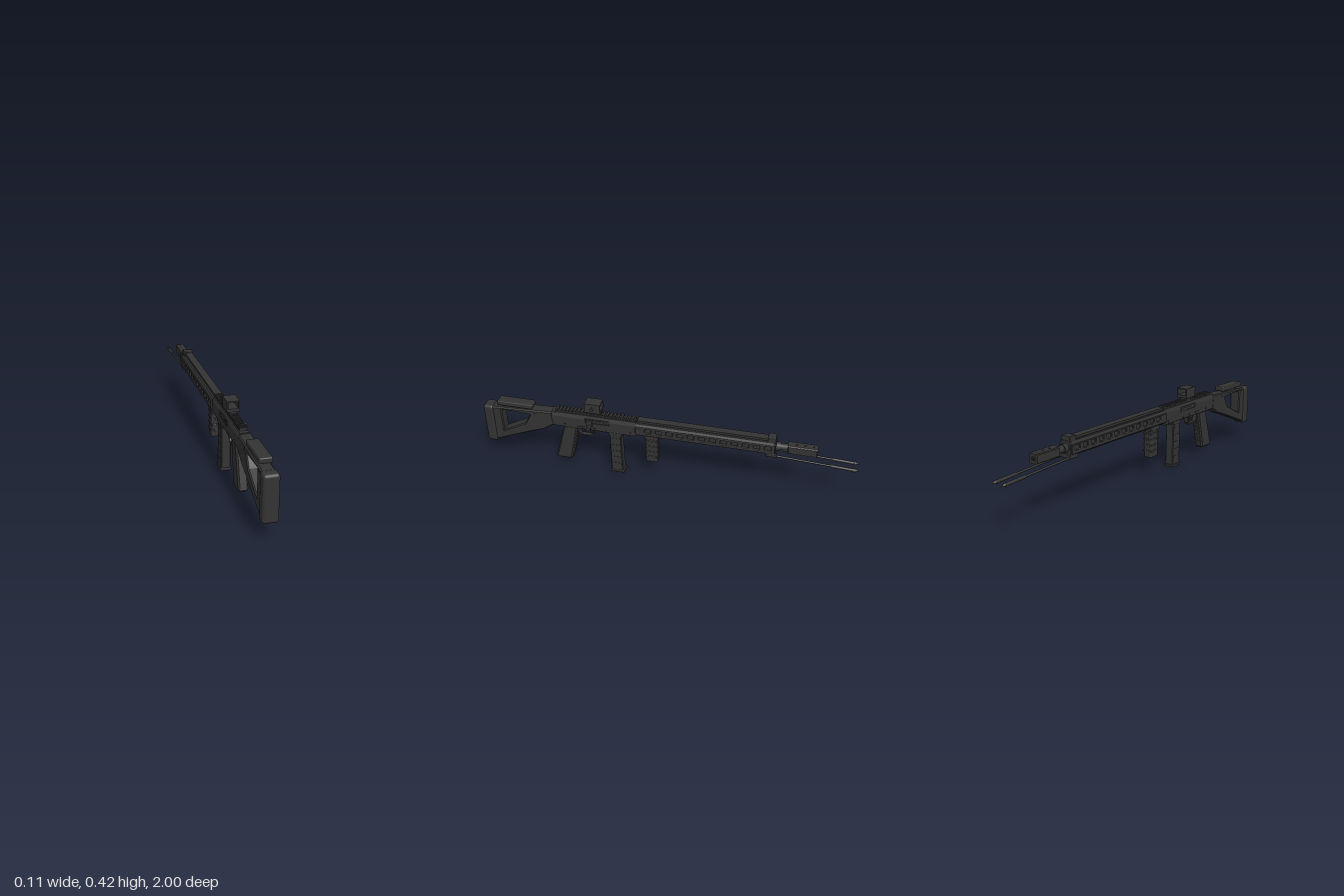
import * as THREE from 'three';
import { RoundedBoxGeometry } from 'three/addons/geometries/RoundedBoxGeometry.js';

const body = new THREE.MeshStandardMaterial({ color: 0x333333 });
body.name = 'dark polymer';
const bore = new THREE.MeshStandardMaterial({ color: 0x1c1c1c });
bore.name = 'bore black';

export function createModel() {
  const root = new THREE.Group();
  const model = new THREE.Group();
  model.name = 'rifle';
  model.position.x = -0.0125;
  root.add(model);

  const add = (name, geometry, material = body, parent = model) => {
    const mesh = new THREE.Mesh(geometry, material);
    mesh.name = name;
    parent.add(mesh);
    return mesh;
  };
  // Box given by its limits on each axis
  const box = (name, x0, x1, y0, y1, z0, z1, r = 0, material = body) => {
    const s = [x1 - x0, y1 - y0, z1 - z0];
    const g = r ? new RoundedBoxGeometry(...s, 2, r) : new THREE.BoxGeometry(...s);
    g.translate((x0 + x1) / 2, (y0 + y1) / 2, (z0 + z1) / 2);
    return add(name, g, material);
  };
  const toShape = (pts, holes = []) => {
    const shape = new THREE.Shape(pts.map(p => new THREE.Vector2(...p)));
    for (const h of holes) shape.holes.push(new THREE.Path(h.map(p => new THREE.Vector2(...p))));
    return shape;
  };
  const rect = (a0, a1, b0, b1) => [[a0, b0], [a1, b0], [a1, b1], [a0, b1]];
  // Side outline in [z, y], extruded across x and centred on cx
  const side = (name, pts, width, { holes = [], bevel = 0, cx = 0 } = {}) => {
    const g = new THREE.ExtrudeGeometry(toShape(pts, holes), {
      depth: width - 2 * bevel, bevelEnabled: bevel > 0, bevelSize: bevel,
      bevelThickness: bevel, bevelOffset: -bevel, bevelSegments: 1,
    });
    g.translate(0, 0, bevel - width / 2).rotateY(-Math.PI / 2).translate(cx, 0, 0);
    return add(name, g);
  };
  // Cross-section in [x, y], extruded along z
  const along = (name, pts, z0, z1, holes = []) => {
    const g = new THREE.ExtrudeGeometry(toShape(pts, holes), { depth: z1 - z0, bevelEnabled: false });
    return add(name, g.translate(0, 0, z0));
  };
  const mirrorX = half => [...half, ...half.map(([x, y]) => [-x, y]).reverse()];
  const rodZ = (name, r0, r1, y, z0, z1, parent = model, x = 0, material = body) => {
    const g = new THREE.CylinderGeometry(r1, r0, z1 - z0, 16);
    g.rotateX(Math.PI / 2).translate(x, y, (z0 + z1) / 2);
    return add(name, g, material, parent);
  };
  const rodX = (name, r, x0, x1, y, z) => {
    const g = new THREE.CylinderGeometry(r, r, x1 - x0, 14);
    return add(name, g.rotateZ(Math.PI / 2).translate((x0 + x1) / 2, y, z));
  };

  // Stock with open triangular frame
  side('stock', [[0.95, 0.107], [0.95, 0.322], [0.61, 0.338], [0.60, 0.262], [0.66, 0.222], [0.74, 0.192]], 0.064, {
    bevel: 0.006,
    holes: [[[0.897, 0.176], [0.767, 0.243], [0.735, 0.303], [0.897, 0.31]]],
  });
  box('buttPad', -0.0375, 0.0375, 0.098, 0.326, 0.943, 1.0, 0.014);
  box('cheekRest', -0.03, 0.03, 0.336, 0.363, 0.72, 0.917, 0.006);
  for (const z of [0.76, 0.88]) box('cheekRestPost', -0.014, 0.014, 0.31, 0.34, z - 0.012, z + 0.012);
  for (const z of [0.71, 0.92]) rodX('stockPin', 0.006, -0.034, 0.034, 0.312, z);

  // Receiver
  along('receiver', mirrorX([[0.026, 0.256], [0.031, 0.264], [0.031, 0.322], [0.023, 0.343]]), 0.15, 0.612);
  side('receiverRear', [[0.64, 0.275], [0.64, 0.328], [0.59, 0.344], [0.58, 0.258]], 0.052, { bevel: 0.005 });
  box('topRail', -0.018, 0.018, 0.34, 0.35, 0.155, 0.59);
  for (let i = 0; i < 22; i++) {
    const z = 0.163 + i * 0.0198;
    box('railTooth', -0.02, 0.02, 0.348, 0.358, z, z + 0.011);
  }
  for (const s of [-1, 1]) {
    // Raised port frame, port cover and pins on each side
    const x = s * 0.032;
    side('portFrame', rect(0.295, 0.43, 0.3, 0.329), 0.005, { holes: [rect(0.302, 0.423, 0.306, 0.323)], cx: x });
    box('portCover', x - 0.001, x + 0.001, 0.309, 0.32, 0.306, 0.395);
    for (const [z, y] of [[0.375, 0.272], [0.318, 0.266], [0.54, 0.275], [0.18, 0.275]])
      rodX('receiverPin', 0.006, x - 0.003, x + 0.003, y, z);
    box('selectorLever', x - 0.003, x + 0.003, 0.268, 0.276, 0.43, 0.47);
  }

  // Charging handle on the left
  box('chargingSlide', 0.03, 0.041, 0.283, 0.325, 0.385, 0.415, 0.003);
  rodX('chargingStem', 0.007, 0.038, 0.05, 0.289, 0.4);
  rodX('chargingKnob', 0.0115, 0.044, 0.0655, 0.289, 0.4);

  // Box sight, open front to back
  along('sightHood', rect(-0.032, 0.031, 0.368, 0.422), 0.34, 0.425, [rect(-0.025, 0.024, 0.384, 0.416)]);
  box('sightMount', -0.017, 0.017, 0.352, 0.37, 0.35, 0.415);
  rodX('sightKnob', 0.009, 0.03, 0.0395, 0.393, 0.385);

  // Pistol grip with finger ridges along the front
  side('pistolGrip', [[0.607, 0.05], [0.598, 0.04], [0.528, 0.04], [0.516, 0.05], [0.472, 0.262], [0.545, 0.262], [0.56, 0.225]],
    0.05, { bevel: 0.008 });
  for (let i = 0; i < 7; i++) {
    const y = 0.075 + i * 0.021, z = 0.516 - (y - 0.05) * 0.2075;
    box('gripRidge', -0.019, 0.019, y, y + 0.009, z - 0.006, z + 0.012, 0.002);
  }

  // Trigger and guard
  const guard = [[0.487, 0.258], [0.474, 0.222], [0.465, 0.204], [0.4, 0.204], [0.386, 0.218], [0.384, 0.258]];
  const inner = [[0.477, 0.258], [0.466, 0.224], [0.459, 0.211], [0.403, 0.211], [0.393, 0.221], [0.391, 0.258]];
  side('triggerGuard', [...guard, ...inner.reverse()], 0.024);
  side('trigger', [[0.445, 0.26], [0.44, 0.238], [0.428, 0.221], [0.423, 0.224], [0.429, 0.242], [0.428, 0.26]], 0.01);

  // Magazine with ribs and base plate
  side('magazine', [[0.293, 0.008], [0.297, 0.265], [0.234, 0.265], [0.228, 0.008]], 0.05, { bevel: 0.004 });
  box('magazineWell', -0.029, 0.029, 0.24, 0.262, 0.227, 0.303, 0.004);
  for (let i = 0; i < 5; i++) {
    const y = 0.045 + i * 0.04;
    box('magazineRib', -0.0265, 0.0265, y, y + 0.018, 0.235, 0.289);
  }
  box('magazineBase', -0.029, 0.029, 0, 0.014, 0.219, 0.299, 0.004);

  // Front grip
  box('foreGrip', -0.024, 0.024, 0.1, 0.262, 0.036, 0.1, 0.008);
  box('foreGripMount', -0.027, 0.027, 0.248, 0.272, 0.03, 0.106, 0.003);
  for (let i = 0; i < 4; i++) {
    const y = 0.132 + i * 0.032;
    box('foreGripRib', -0.0265, 0.0265, y, y + 0.009, 0.033, 0.103, 0.002);
  }

  // Handguard: core with slotted plates on both sides and a flat top rail
  along('handguardCore', mirrorX([[0.022, 0.266], [0.034, 0.278], [0.034, 0.325], [0.026, 0.338]]), -0.57, 0.15);
  const slots = [];
  for (let i = 0; i < 12; i++) {
    const z = 0.083 - i * 0.0565;
    slots.push([[z - 0.016, 0.3], [z - 0.011, 0.296], [z + 0.011, 0.296], [z + 0.016, 0.3],
      [z + 0.016, 0.316], [z + 0.011, 0.32], [z - 0.011, 0.32], [z - 0.016, 0.316]]);
  }
  for (const s of [-1, 1])
    side('slottedPlate', rect(-0.575, 0.15, 0.278, 0.326), 0.009, { holes: slots, bevel: 0.002, cx: s * 0.0365 });
  box('handguardRailBase', -0.014, 0.014, 0.335, 0.345, -0.57, 0.145);
  box('handguardRail', -0.02, 0.02, 0.343, 0.355, -0.56, 0.145);
  box('frontSightBase', -0.027, 0.027, 0.332, 0.363, -0.575, -0.533, 0.003);
  box('handguardCap', -0.031, 0.031, 0.27, 0.34, -0.578, -0.565);

  // Barrel and muzzle brake with windows right through
  rodZ('barrel', 0.018, 0.018, 0.306, -0.655, -0.56);
  rodZ('barrelCollar', 0.023, 0.023, 0.306, -0.6, -0.575);
  const windows = [0, 1, 2].map(i => rect(-0.692 - i * 0.041, -0.665 - i * 0.041, 0.29, 0.322));
  side('muzzleBrake', rect(-0.785, -0.635, 0.282, 0.33), 0.05, { holes: windows, bevel: 0.005 });
  rodZ('muzzleBore', 0.011, 0.011, 0.306, -0.787, -0.784, model, 0, bore);
  for (let i = 0; i < 3; i++) {
    const g = new THREE.CylinderGeometry(0.006, 0.006, 0.002, 12);
    add('brakePort', g.translate(0, 0.33, -0.68 - i * 0.041), bore);
  }

  // Folded bipod, tilted slightly down to the front
  box('bipodMount', -0.036, 0.036, 0.256, 0.276, -0.585, -0.53, 0.004);
  const bipod = new THREE.Group();
  bipod.name = 'bipod';
  bipod.position.set(0, 0.265, -0.56);
  bipod.rotation.x = -0.05;
  model.add(bipod);
  for (const x of [-0.029, 0.029]) {
    rodZ('bipodLeg', 0.0055, 0.0055, 0, -0.31, 0, bipod, x);
    rodZ('bipodSleeve', 0.008, 0.008, 0, -0.41, -0.3, bipod, x);
    rodZ('bipodFootCollar', 0.01, 0.01, 0, -0.418, -0.41, bipod, x);
    rodZ('bipodSpike', 0.0005, 0.009, 0, -0.44, -0.418, bipod, x);
  }
  return root;
}
